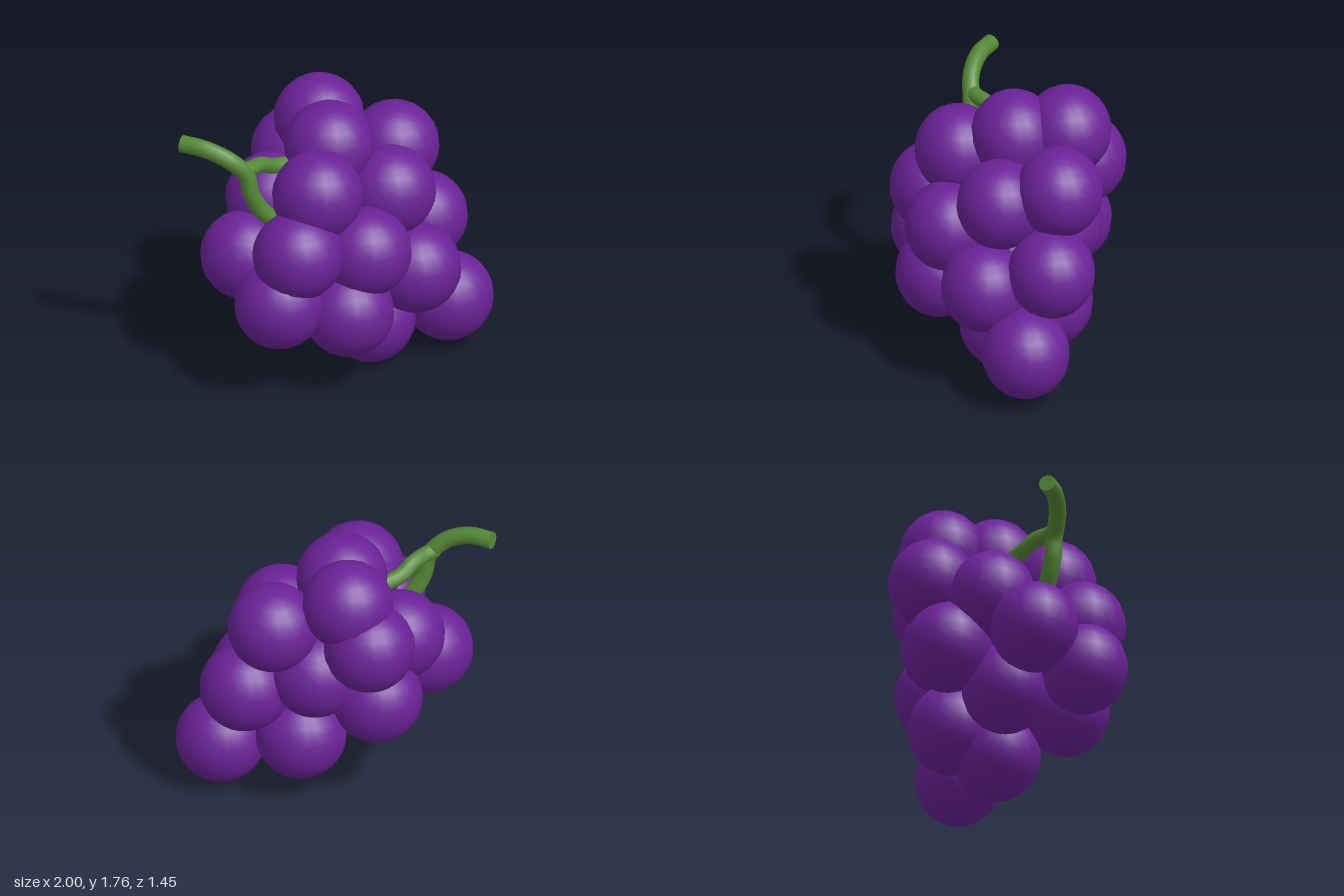
import * as THREE from 'three';

export function createModel() {
  const purple = new THREE.MeshStandardMaterial({ color: 0x6b2298 });
  purple.name = 'grapePurple';
  const green = new THREE.MeshStandardMaterial({ color: 0x538735 });
  green.name = 'stemGreen';

  const model = new THREE.Group();
  model.name = 'grapeBunch';

  // Grapes: one slightly flattened sphere, placed at each centre
  const grapes = new THREE.Group();
  grapes.name = 'grapes';
  const grapeGeometry = new THREE.SphereGeometry(0.282, 20, 14);
  grapeGeometry.scale(1, 1, 0.96);
  const centres = [
    // top layer
    [-0.03, 1.46, -0.02], [-0.02, 1.48, -0.35], [-0.175, 1.3, 0.31],
    [0.43, 1.29, -0.255], [0.33, 1.17, 0.1], [-0.14, 1.22, -0.455],
    // middle layer
    [-0.37, 1.08, -0.14], [-0.33, 0.97, 0.45], [0.11, 0.92, 0.4],
    [0.17, 0.94, -0.28], [0.595, 0.815, -0.19], [-0.575, 0.81, 0.07],
    [-0.2, 0.78, -0.37],
    // lower layer
    [-0.44, 0.635, 0.43], [-0.01, 0.54, 0.445], [0.465, 0.67, 0.21],
    [-0.2, 0.55, 0.0], [0.25, 0.44, -0.21],
    // bottom tip
    [0.72, 0.33, -0.02], [0.21, 0.282, 0.07],
  ];
  centres.forEach(([x, y, z], i) => {
    const grape = new THREE.Mesh(grapeGeometry, purple);
    grape.name = `grape${i + 1}`;
    grape.position.set(x, y, z);
    grapes.add(grape);
  });
  model.add(grapes);

  // Stem: a main stalk curving into the bunch and a side branch
  const stem = new THREE.Group();
  stem.name = 'stem';
  function addTube(name, points, radius) {
    const curve = new THREE.CatmullRomCurve3(points.map((p) => new THREE.Vector3(...p)));
    const tube = new THREE.Mesh(new THREE.TubeGeometry(curve, 28, radius, 12), green);
    tube.name = name;
    stem.add(tube);
    return curve;
  }
  const stalk = addTube('mainStalk', [
    [-0.97, 1.605, 0.03], [-0.84, 1.595, 0.12], [-0.7, 1.53, 0.18],
    [-0.595, 1.42, 0.19], [-0.57, 1.3, 0.19], [-0.51, 1.18, 0.18], [-0.4, 1.06, 0.17],
  ], 0.054);
  addTube('sideBranch', [
    [-0.64, 1.46, 0.19], [-0.57, 1.45, 0.16], [-0.49, 1.44, 0.1],
    [-0.4, 1.39, 0.04], [-0.24, 1.36, -0.02],
  ], 0.05);

  // Flat cut end of the stalk
  const cutEnd = new THREE.Mesh(new THREE.CircleGeometry(0.054, 12), green);
  cutEnd.name = 'stalkCutEnd';
  const start = stalk.getPointAt(0);
  cutEnd.position.copy(start);
  cutEnd.lookAt(start.clone().sub(stalk.getTangentAt(0)));
  stem.add(cutEnd);
  model.add(stem);

  return model;
}
